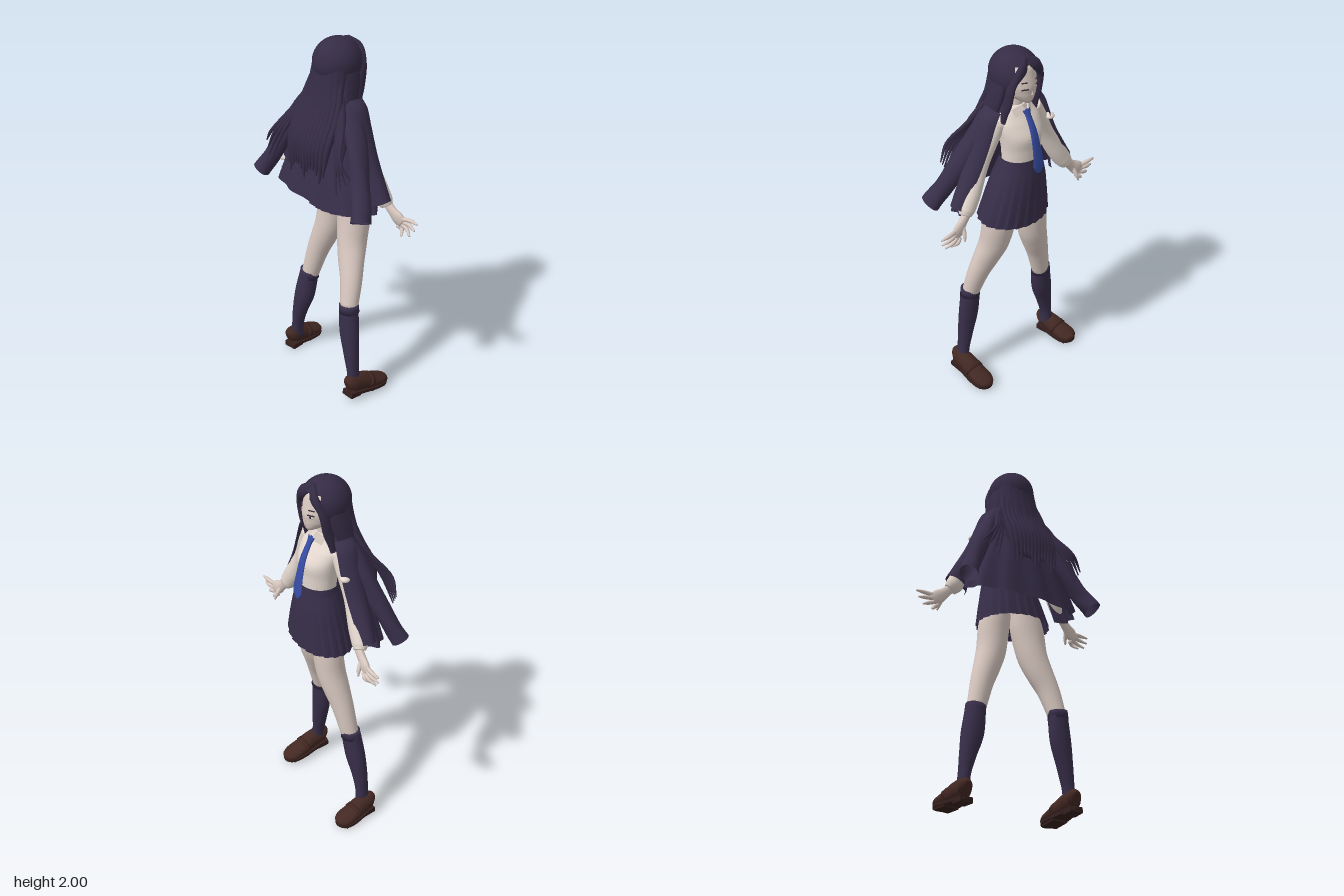
import * as THREE from 'three';

const mat = (name, color, side = THREE.FrontSide) => {
  const m = new THREE.MeshStandardMaterial({ color, side });
  m.name = name;
  return m;
};

// Sweeps an elliptical section along points [x, y, z, radiusU, radiusV].
// arc: angle range in degrees, flat: keep sections level, ref: axis for radiusU
function sweep(pts, { seg = 24, steps = 6, arc = null, flat = false, ref = 'x', mod = null, open = false } = {}) {
  const P = new THREE.CatmullRomCurve3(pts.map(p => new THREE.Vector3(p[0], p[1], p[2])));
  const R = new THREE.CatmullRomCurve3(pts.map(p => new THREE.Vector3(p[3], p[4], 0)));
  const n = (pts.length - 1) * steps, pos = [], idx = [];
  const axis = ref === 'x' ? new THREE.Vector3(1, 0, 0) : new THREE.Vector3(0, 0, 1);
  const cols = arc ? seg + 1 : seg;
  const [a0, a1] = (arc || [0, 360]).map(THREE.MathUtils.degToRad);
  for (let i = 0; i <= n; i++) {
    const s = i / n, c = P.getPoint(s), r = R.getPoint(s);
    const t = flat ? new THREE.Vector3(0, -1, 0) : P.getTangent(s);
    const u = axis.clone().addScaledVector(t, -axis.dot(t)).normalize();
    const v = new THREE.Vector3().crossVectors(t, u);
    for (let j = 0; j < cols; j++) {
      const a = a0 + (a1 - a0) * j / seg, k = mod ? mod(a, s) : 1;
      const p = c.clone().addScaledVector(u, Math.max(r.x, 0.001) * k * Math.cos(a))
        .addScaledVector(v, Math.max(r.y, 0.001) * k * Math.sin(a));
      pos.push(p.x, p.y, p.z);
    }
  }
  for (let i = 0; i < n; i++) for (let j = 0; j < seg; j++) {
    const a = i * cols + j, b = i * cols + (j + 1) % cols;
    idx.push(a, b, a + cols, b, b + cols, a + cols);
  }
  if (!arc && !open) {
    for (const [row, p] of [[0, pts[0]], [n, pts[pts.length - 1]]]) {
      const centre = pos.length / 3;
      pos.push(p[0], p[1], p[2]);
      for (let j = 0; j < seg; j++) {
        const a = row * cols + j, b = row * cols + (j + 1) % cols;
        row ? idx.push(a, b, centre) : idx.push(b, a, centre);
      }
    }
  }
  const g = new THREE.BufferGeometry();
  g.setAttribute('position', new THREE.Float32BufferAttribute(pos, 3));
  g.setIndex(idx);
  g.computeVertexNormals();
  return g;
}

export function createModel() {
  const root = new THREE.Group();
  const skin = mat('skin', 0xd9c9c1), shirt = mat('shirt', 0xe4d8cf, THREE.DoubleSide);
  const hair = mat('hair', 0x352c45, THREE.DoubleSide), cloth = mat('navy cloth', 0x382f4a, THREE.DoubleSide);
  const tieBlue = mat('tie blue', 0x374ca4), leather = mat('brown leather', 0x432823), sole = mat('sole', 0x35201d);
  const dark = mat('eye dark', 0x3a303c), lip = mat('lip', 0xb58580);
  const add = (name, geo, m, parent = root) => {
    const mesh = new THREE.Mesh(geo, m);
    mesh.name = name;
    parent.add(mesh);
    return mesh;
  };

  // Head, neck and face; the left eye is closed
  add('head', sweep([[.055, 1.965, 0, .05, .05], [.055, 1.92, 0, .092, .086], [.063, 1.84, 0, .103, .091],
    [.075, 1.79, 0, .09, .076], [.1, 1.755, 0, .06, .044], [.115, 1.738, 0, .035, .018]], { flat: true, seg: 32 }), skin);
  add('neck', sweep([[.045, 1.79, 0, .036, .036], [.05, 1.65, 0, .042, .045]], { flat: true }), skin);
  const nose = add('nose', new THREE.ConeGeometry(.006, .024, 8), skin);
  nose.position.set(.166, 1.803, 0);
  for (const s of [1, -1]) {
    const place = (mesh, x, y, z) => {
      mesh.position.set(x, y, s * z);
      mesh.rotation.y = -s * .5;
    };
    if (s < 0) {
      const white = add('eyeWhite', new THREE.SphereGeometry(1, 14, 8), shirt);
      white.scale.set(.004, .009, .018);
      place(white, .156, 1.829, .041);
      const iris = add('iris', new THREE.SphereGeometry(1, 12, 8), dark);
      iris.scale.set(.003, .008, .007);
      place(iris, .159, 1.829, .04);
    }
    place(add('eyelid', new THREE.BoxGeometry(.006, .005, .038), dark), .157, s < 0 ? 1.838 : 1.828, .042);
    place(add('eyebrow', new THREE.BoxGeometry(.005, .004, .034), dark), .153, 1.864, .042);
  }
  const mouth = add('mouth', new THREE.BoxGeometry(.005, .003, .02), lip);
  mouth.position.set(.162, 1.768, 0);

  // Hair: crown, sides with a face opening, back mass and locks
  const W = Math.PI * .25;
  for (const g of [new THREE.SphereGeometry(1, 36, 12, 0, Math.PI * 2, 0, Math.PI * .3),
    new THREE.SphereGeometry(1, 36, 16, Math.PI + W, 2 * Math.PI - 2 * W, Math.PI * .29, Math.PI * .5)]) {
    const m = add('hairCrown', g, hair);
    m.scale.set(.133, .127, .125);
    m.position.set(.04, 1.873, 0);
  }
  add('backHair', sweep([[.01, 1.94, 0, .06, .07], [-.002, 1.87, 0, .08, .112], [-.018, 1.78, 0, .077, .122], [-.06, 1.64, 0, .068, .135],
    [-.12, 1.52, 0, .058, .132], [-.165, 1.4, 0, .028, .115]], { seg: 72, mod: (a, s) => 1 + .035 * s * Math.sin(a * 18) }), hair);
  const lock = (pts, name = 'hairLock') => add(name, sweep(pts, { seg: 8, steps: 5 }), hair);
  for (let k = -6; k <= 6; k++) {
    const f = k / 6, d = .02 * ((k * k * 7) % 5) - .04, b = Math.sqrt(1 - f * f * .8);
    lock([[-.01 - .04 * b, 1.82, .1 * f, .012, .012], [-.06 - .05 * b, 1.65, .13 * f, .019, .02],
      [-.13 - .05 * b, 1.5, .135 * f, .019, .019], [-.175 - .02 * b, 1.34 + d, .13 * f, .004, .005]]);
  }
  for (const s of [1, -1]) {
    lock([[.11, 1.978, 0, .016, .014], [.141, 1.935, s * .045, .018, .03], [.122, 1.86, s * .095, .026, .016],
      [.1, 1.76, s * .104, .03, .016], [.08, 1.68, s * .11, .022, .014], [.07, 1.57, s * .12, .004, .003]], 'fringe');
    lock([[.05, 1.92, s * .09, .04, .018], [.03, 1.79, s * .116, .055, .02], [0, 1.68, s * .132, .05, .022],
      [-.05, 1.56, s * .155, .03, .02], [-.11, 1.42, s * .19, .005, .005]], 'sideHair');
    for (let k = 0; k < 4; k++) // loose strands blown outwards
      lock([[-.03, 1.74, s * .11, .012, .012], [-.1, 1.6, s * (.15 + k * .012), .012, .012],
        [-.16 - k * .008, 1.47, s * (.2 + k * .02), .01, .01], [-.205 + k * .012, 1.3 + k * .03, s * (.25 + k * .023), .003, .003]], 'looseStrand');
  }

  // Shirt, collar and tie
  add('shirtBody', sweep([[.052, 1.705, 0, .042, .046], [.052, 1.67, 0, .055, .1], [.065, 1.62, 0, .078, .132],
    [.085, 1.55, 0, .098, .124], [.09, 1.48, 0, .09, .114], [.09, 1.39, 0, .088, .108]], { flat: true, seg: 32 }), shirt);
  for (const s of [1, -1]) {
    const c = add('collar', new THREE.BoxGeometry(.008, .045, .06), shirt);
    c.position.set(.108, 1.69, s * .036);
    c.rotation.set(s * .55, -s * .5, .5);
  }
  add('tie', sweep([[.124, 1.69, 0, .026, .012], [.14, 1.66, 0, .017, .01], [.178, 1.58, 0, .023, .008],
    [.203, 1.48, 0, .03, .006], [.216, 1.4, 0, .037, .005], [.22, 1.36, 0, .012, .004]], { ref: 'z', seg: 12 }), tieBlue);

  // Pleated skirt
  add('waistband', sweep([[.088, 1.425, 0, .099, .115], [.088, 1.385, 0, .104, .122]], { flat: true, open: true, seg: 36 }), cloth);
  const pleat = (a, s) => 1 + .055 * s * (((a * 22 / (2 * Math.PI)) % 1) - .5);
  add('skirt', sweep([[.088, 1.405, 0, .1, .118], [.08, 1.3, .006, .123, .155], [.067, 1.17, .016, .14, .19],
    [.056, 1.06, .024, .151, .216]], { seg: 132, mod: pleat, open: true }), cloth);

  // Legs, socks and loafers
  const legs = [
    { side: 'left',
      leg: [[.055, 1.2, .085, .07, .07], [.05, 1.05, .115, .084, .094], [.025, .9, .132, .078, .084],
        [-.005, .8, .158, .066, .077], [-.035, .7, .19, .056, .064], [-.075, .55, .217, .046, .05]],
      sock: [[-.077, .57, .217, .05, .054], [-.083, .42, .228, .047, .06], [-.088, .27, .252, .041, .044],
        [-.09, .15, .27, .036, .031], [-.09, .08, .275, .038, .032]],
      foot: [-.148, .03, .28], len: .285, tilt: -.1, yaw: -.02 },
    { side: 'right',
      leg: [[.07, 1.2, -.05, .066, .06], [.086, 1.05, -.078, .079, .086], [.08, .9, -.1, .077, .081],
        [.068, .8, -.133, .07, .073], [.055, .7, -.17, .059, .063], [.037, .52, -.22, .046, .05]],
      sock: [[.035, .545, -.22, .05, .054], [.022, .4, -.245, .051, .062], [.012, .26, -.28, .042, .044],
        [.01, .15, -.3, .037, .031], [.01, .07, -.305, .038, .032]],
      foot: [-.045, 0, -.315], len: .245, tilt: 0, yaw: .08 }];
  for (const L of legs) {
    add(L.side + 'Leg', sweep(L.leg), skin);
    add(L.side + 'Sock', sweep(L.sock), cloth);
    const [x, y, z, r, q] = L.sock[0];
    add(L.side + 'SockBand', sweep([[x, y + .005, z, r + .001, q + .001], [x, y - .04, z + Math.sign(z) * .004, r + .002, q + .003]], { steps: 2 }), cloth);
    const shoe = new THREE.Group();
    shoe.name = L.side + 'Shoe';
    shoe.position.set(...L.foot);
    shoe.rotation.set(0, L.yaw, L.tilt);
    const l = L.len;
    add('upper', sweep([[0, .065, 0, .024, .032], [.02, .075, 0, .043, .052], [l * .35, .068, 0, .048, .052],
      [l * .55, .052, 0, .054, .043], [l * .8, .04, 0, .056, .031], [l * .95, .032, 0, .038, .022], [l, .028, 0, .012, .01]],
    { ref: 'z', seg: 20 }), leather, shoe);
    add('strap', sweep([[l * .47, .063, 0, .054, .044], [l * .56, .055, 0, .057, .042]], { ref: 'z', seg: 20, steps: 2 }), leather, shoe);
    const outline = new THREE.Shape();
    outline.moveTo(.01, -.035);
    outline.bezierCurveTo(-.01, -.02, -.01, .02, .01, .035);
    outline.bezierCurveTo(l * .4, .04, l * .55, .062, l * .8, .056);
    outline.bezierCurveTo(l * 1.07, .045, l * 1.07, -.045, l * .8, -.056);
    outline.bezierCurveTo(l * .55, -.062, l * .4, -.04, .01, -.035);
    const plate = new THREE.ExtrudeGeometry(outline, { depth: .016, bevelEnabled: false, curveSegments: 10 });
    plate.rotateX(-Math.PI / 2).translate(0, .01, 0);
    add('sole', plate, sole, shoe);
    const heel = add('heel', new THREE.BoxGeometry(.07, .03, .074), sole, shoe);
    heel.position.set(.038, .015, 0);
    const tread = add('tread', new THREE.BoxGeometry(l * .35, .012, .09), sole, shoe);
    tread.position.set(l * .7, .006, 0);
    root.add(shoe);
  }

  // Draped jacket back with square shoulders
  add('jacketBack', sweep([[.035, 1.715, 0, .06, .068], [.026, 1.695, 0, .08, .16], [.02, 1.65, 0, .1, .198],
    [.01, 1.5, 0, .113, .218], [-.015, 1.34, 0, .12, .28], [-.04, 1.15, 0, .125, .345]],
  { flat: true, arc: [58, 302], seg: 72, mod: (a, s) => 1 + .04 * s * Math.sin(a * 11) }), cloth);

  // Arms, hands, empty sleeves and the jacket fronts over the arms
  for (const s of [1, -1]) {
    const side = s > 0 ? 'left' : 'right', dx = s > 0 ? 0 : .035;
    const at = list => list.map(([x, y, z, a, b], i) => [x + dx * i / (list.length - 1), y, z * s, a, b]);
    const arc = (a, b) => s > 0 ? [a, b] : [-b, -a];
    add(side + 'Arm', sweep(at([[.04, 1.64, .12, .05, .05], [.03, 1.55, .17, .052, .05], [.025, 1.42, .232, .046, .046],
      [.035, 1.29, .3, .048, .051], [.045, 1.215, .345, .041, .047], [.05, 1.19, .36, .03, .036]])), shirt);
    add(side + 'JacketFront', sweep(at([[.025, 1.7, .125, .06, .032], [.02, 1.65, .155, .07, .05], [.016, 1.56, .186, .07, .055],
      [.012, 1.42, .242, .064, .058], [.01, 1.3, .305, .056, .06], [.01, 1.21, .352, .052, .062]]), { arc: arc(20, 225) }), cloth);
    const sleeve = [[.005, 1.67, .14, .055, .04], [-.02, 1.57, .195, .06, .048], [-.07, 1.425, .272, .055, .047],
      [-.125, 1.27, .35, .051, .046], [-.17, 1.18, .395, .055, .049]];
    add(side + 'EmptySleeve', sweep(at(sleeve.map(([x, y, z, a, b]) => [x - dx * .3, y, z, a - dx * .2, b])),
      { open: true, mod: (a, t) => 1 + .04 * Math.sin(a * 3 + t * 14) }), cloth);
    const hx = .055 + dx;
    const hand = (name, pts) => add(name, sweep(pts.map(([x, y, z, a, b]) => [x + hx, y, z * s, a, b]), { seg: 10, steps: 4 }), skin);
    hand(side + 'Palm', [[0, 1.205, .35, .02, .025], [.004, 1.165, .39, .019, .03], [.01, 1.135, .425, .018, .04], [.014, 1.115, .455, .011, .032]]);
    const tips = [[1.143, .55], [1.105, .54], [1.068, .515], [1.05, .465]];
    tips.forEach(([y, z], i) => {
      const by = 1.14 - i * .016, bz = .452 - i * .011;
      hand(side + 'Finger', [[.012, by, bz, .011, .012], [.022, (by + y) / 2 + .004, (bz + z) / 2, .011, .011],
        [.02 - i * .008, y, z, .005, .005]]);
    });
    hand(side + 'Thumb', [[.01, 1.15, .395, .012, .013], [.03, 1.11, .402, .011, .011], [.04, 1.075, .41, .005, .005]]);
  }
  // Shirt fold showing at the right jacket front
  const fold = add('shirtFold', new THREE.SphereGeometry(1, 14, 10), shirt);
  fold.scale.set(.026, .016, .028);
  fold.position.set(.08, 1.54, -.222);
  return root;
}
